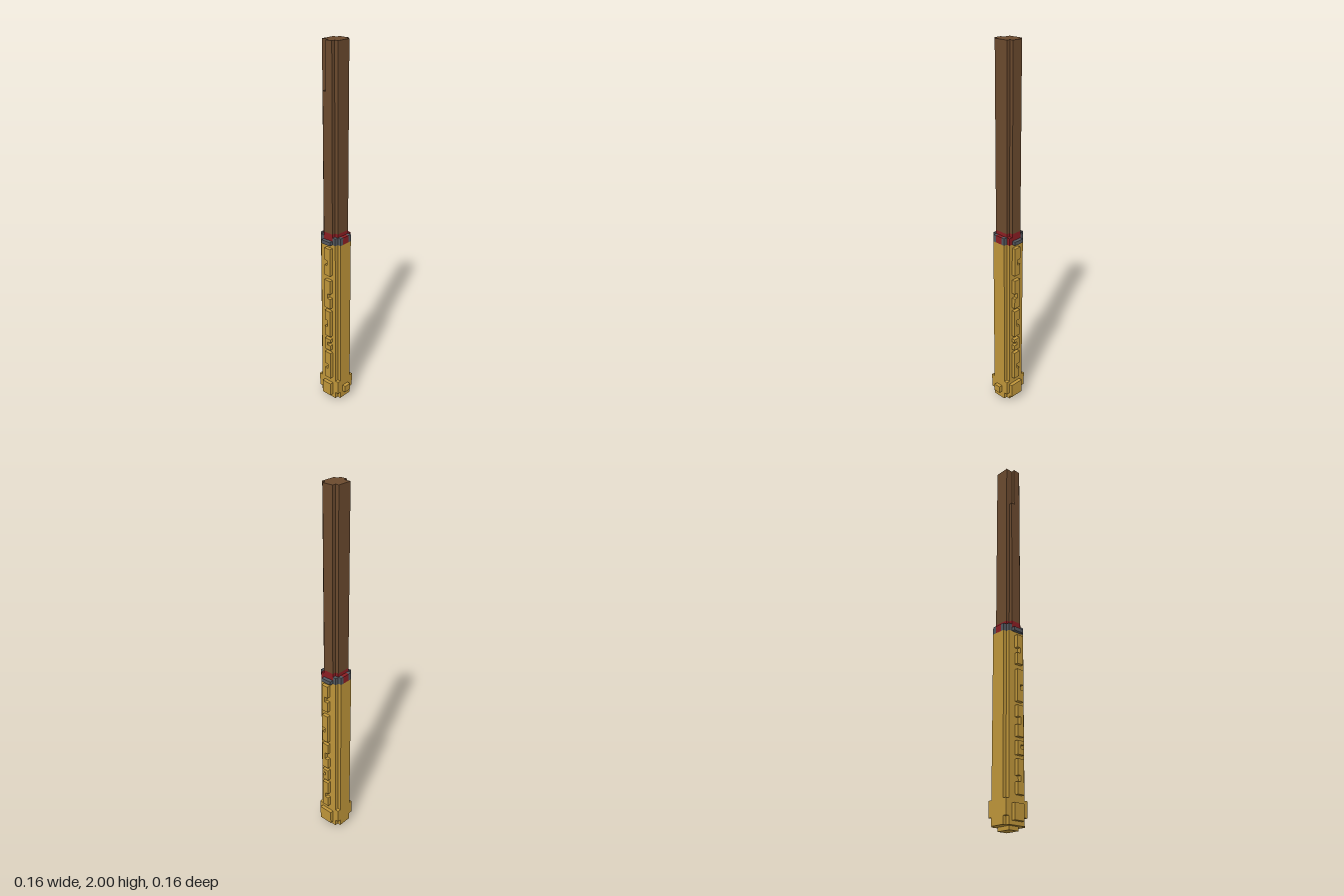
import * as THREE from 'three';

const U = 2 / 102; // size of one cube of the grid

export function createModel() {
  const model = new THREE.Group();
  model.name = 'blockyHandle';

  const mat = (name, color) => {
    const m = new THREE.MeshStandardMaterial({ color });
    m.name = name;
    return m;
  };
  const wood = mat('brownWood', 0x6b4a2e);
  const gold = mat('gold', 0xc0963a);
  const steel = mat('greySteel', 0x555960);
  const red = mat('redBand', 0x8c1e23);

  // box between two grid corners
  const box = (name, material, x0, x1, y0, y1, z0, z1) => {
    const g = new THREE.BoxGeometry((x1 - x0) * U, (y1 - y0) * U, (z1 - z0) * U);
    const m = new THREE.Mesh(g, material);
    m.position.set((x0 + x1) / 2 * U, (y0 + y1) / 2 * U, (z0 + z1) / 2 * U);
    m.name = name;
    model.add(m);
  };
  // the same box on the front and the back
  const frontBack = (name, material, x0, x1, y0, y1, z0, z1) => {
    box(name + 'Front', material, x0, x1, y0, y1, z0, z1);
    box(name + 'Back', material, x0, x1, y0, y1, -z1, -z0);
  };

  // wooden shaft, with a chipped front edge at the top
  box('shaft', wood, -3, 2, 53, 102, -2, 2);
  box('shaftBackLayer', wood, -2, 1, 53, 102, -3, -2);
  box('shaftFrontLayer', wood, -1, 1, 53, 102, 2, 3);
  box('shaftFrontChip', wood, -2, -1, 53, 90, 2, 3);

  // red band and grey collar
  box('redBand', red, -3, 2, 51, 53, -2, 2);
  frontBack('redBandLayer', red, -2, 1, 51, 53, 2, 3);
  box('collarCore', steel, -3, 2, 50, 51, -2, 2);
  frontBack('collarPlate', steel, -2, 1, 50, 51, 2, 4);
  for (const [x, side] of [[-4, 'Right'], [2, 'Left']]) {
    box('redStud' + side, red, x, x + 1, 50, 52, -1, 1);
    frontBack('collarClip' + side, steel, x, x + 1, 50, 52, 1, 2);
  }
  frontBack('collarCornerRight', steel, -3, -2, 50, 52, 2, 3);
  box('collarCornerLeft', steel, 1, 2, 50, 52, 2, 3);
  box('redCorner', red, 1, 2, 50, 52, -3, -2);

  // golden grip with stepped corners
  box('grip', gold, -4, 3, 2, 50, -2, 2);
  frontBack('gripLayer', gold, -3, 2, 2, 50, 2, 3);

  // raised ornaments: bottom, top, and the rows and side of the notch
  const ornaments = [
    [8, 16.5, 11, 12.5, -1], [17.5, 21, 19, 20, 1], [22, 30, 25, 27, -1],
    [31, 39.5, 34, 35.5, 1], [41, 49, 44, 45.5, -1],
  ];
  for (const [y0, y1, n0, n1, side] of ornaments) {
    frontBack('ornamentLower', gold, -1, 1, y0, n0, 3, 4);
    frontBack('ornamentUpper', gold, -1, 1, n1, y1, 3, 4);
    frontBack('ornamentLink', gold, side < 0 ? 0 : -1, side < 0 ? 1 : 0, n0, n1, 3, 4);
  }

  // pommel
  box('pommelTip', gold, -2, 1, 0, 1, -2, 2);
  box('pommelStep', gold, -3, 2, 1, 2, -3, 3);
  box('pommelStepWide', gold, -4, 3, 1, 2, -2, 2);
  box('pommelPlateFront', gold, -2, 1, 2, 6, 3, 4);
  box('pommelPlateBack', gold, -2, 2, 2, 6, -4, -3);
  box('pommelStud', gold, 3, 4, 3, 5, -1, 1);
  for (const x of [-4, 2]) frontBack('pommelCorner', gold, x, x + 1, 3, 7, 2, 3);

  return model;
}
